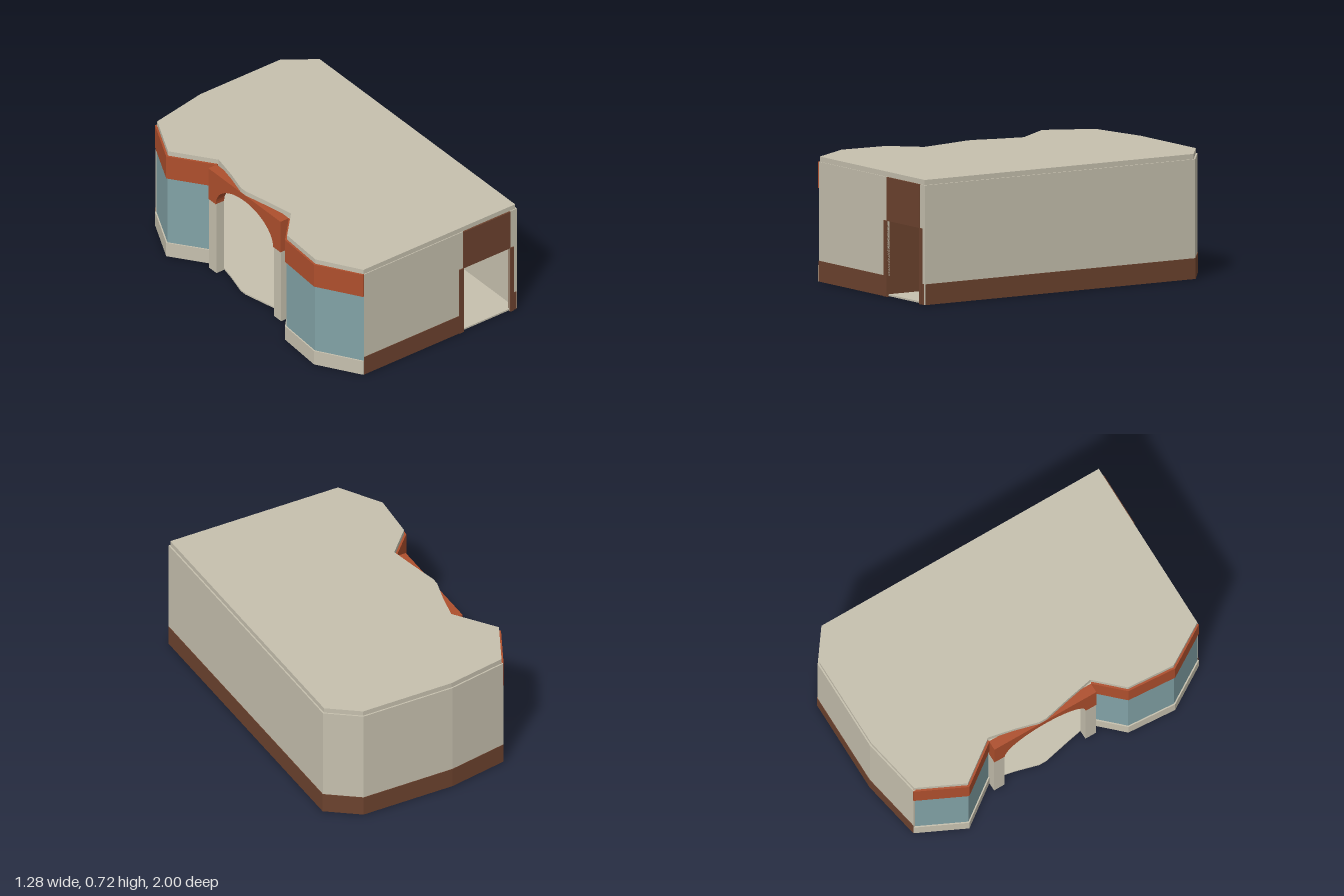
import * as THREE from 'three';

const mat = (name, color) => Object.assign(new THREE.MeshStandardMaterial({ color, flatShading: true }), { name });

export function createModel() {
  const cream = mat('cream plaster', 0xc6c0ae);
  const brown = mat('dark brown trim', 0x6c422e);
  const rust = mat('rust orange fascia', 0xae4f2d);
  const teal = mat('teal glass', 0x82a2a6);
  const group = new THREE.Group();
  group.name = 'building';

  const add = (name, geometry, material) => {
    const mesh = new THREE.Mesh(geometry, material);
    mesh.name = name;
    group.add(mesh);
    return mesh;
  };
  // Box given by its limits
  const box = (name, material, x0, x1, y0, y1, z0, z1) => {
    const g = new THREE.BoxGeometry(x1 - x0, y1 - y0, z1 - z0);
    g.translate((x0 + x1) / 2, (y0 + y1) / 2, (z0 + z1) / 2);
    return add(name, g, material);
  };
  // Upright prism over a plan outline of [x, z] points
  const prism = (name, material, plan, y0, y1) => {
    const shape = new THREE.Shape(plan.map(([x, z]) => new THREE.Vector2(x, -z)));
    const g = new THREE.ExtrudeGeometry(shape, { depth: y1 - y0, bevelEnabled: false });
    g.rotateX(-Math.PI / 2).translate(0, y0, 0);
    return add(name, g, material);
  };
  // Move a plan line inward with mitred corners
  const inset = (pts, d, closed = false) => {
    const n = pts.length;
    const normal = (a, b) => new THREE.Vector2(b[1] - a[1], a[0] - b[0]).normalize();
    return pts.map((p, i) => {
      const prev = closed ? pts[(i + n - 1) % n] : pts[i - 1];
      const next = closed ? pts[(i + 1) % n] : pts[i + 1];
      const n1 = prev ? normal(prev, p) : normal(p, next);
      const n2 = next ? normal(p, next) : n1;
      const k = d / (1 + n1.dot(n2));
      return [p[0] + (n1.x + n2.x) * k, p[1] + (n1.y + n2.y) * k];
    });
  };
  // Wall following a plan line, between two inset distances
  const wall = (name, material, line, y0, y1, d0, d1) =>
    prism(name, material, [...inset(line, d0), ...inset(line, d1).reverse()], y0, y1);

  // Plan lines, running round the building
  const solid = [[0.64, 0.99], [0.64, -0.86], [0.45, -1], [-0.13, -1], [-0.5, -0.93]];
  const backBay = [[-0.5, -0.93], [-0.64, -0.64], [-0.46, -0.395]];
  const frontBay = [[-0.46, 0.28], [-0.61, 0.44], [-0.63, 0.74], [-0.47, 0.995]];
  const bulge = [[-0.492, -0.24], [-0.53, -0.1], [-0.53, -0.05], [-0.492, 0.12]];
  const outline = [...solid, ...backBay.slice(1), ...bulge, ...frontBay.slice(0, 3), [-0.47, 1], [0.64, 1]].slice(1);

  // Floor and roof
  const slab = inset(outline, 0.012, true);
  prism('floor', cream, slab, 0.004, 0.014);
  prism('roof', cream, slab, 0.685, 0.722);

  // Side and back walls with a painted base
  wall('sideAndBackWall', cream, solid, 0, 0.692, 0.003, 0.018);
  wall('sideAndBackBase', brown, solid, 0, 0.12, 0, 0.003);

  // Window bays
  for (const [name, line] of [['backBay', backBay], ['frontBay', frontBay]]) {
    wall(name + 'Sill', cream, line, 0, 0.093, 0, 0.02);
    wall(name + 'Glass', teal, line, 0.093, 0.54, 0.008, 0.016);
    wall(name + 'Fascia', rust, line, 0.54, 0.692, 0, 0.02);
  }

  // Front wall around the doorway
  box('frontBase', brown, -0.462, 0.25, 0, 0.12, 0.982, 0.996);
  box('frontWall', cream, -0.462, 0.25, 0.12, 0.692, 0.982, 0.993);
  box('frontPier', cream, 0.585, 0.637, 0, 0.692, 0.982, 0.993);
  box('frontPierBase', brown, 0.585, 0.63, 0, 0.12, 0.993, 0.996);
  box('doorLintel', brown, 0.248, 0.587, 0.44, 0.692, 0.982, 0.998);
  box('doorJambLeft', brown, 0.585, 0.612, 0, 0.44, 0.975, 1);
  box('doorJambRight', brown, 0.22, 0.25, 0, 0.44, 0.975, 1);

  // Inner partition beside the door
  box('partition', brown, 0.22, 0.248, 0.002, 0.684, 0.4, 0.982);

  // Arched entrance: fascia cut by a half ellipse, on two posts
  const mid = -0.06, half = 0.34, open = 0.27, spring = 0.48;
  const arch = new THREE.Shape();
  arch.moveTo(-half, spring);
  arch.lineTo(-open, spring);
  arch.absellipse(0, spring, open, 0.17, Math.PI, 0, true);
  arch.lineTo(half, spring);
  arch.lineTo(half, 0.692);
  arch.lineTo(-half, 0.692);
  const archGeo = new THREE.ExtrudeGeometry(arch, { depth: 0.06, bevelEnabled: false, curveSegments: 16 });
  archGeo.rotateY(-Math.PI / 2).translate(-0.46, 0, mid);
  add('archFascia', archGeo, rust);
  for (const s of [-1, 1]) {
    const a = mid + s * open, b = mid + s * half;
    box('archPost', cream, -0.515, -0.46, 0, spring, Math.min(a, b), Math.max(a, b));
  }
  return group;
}
